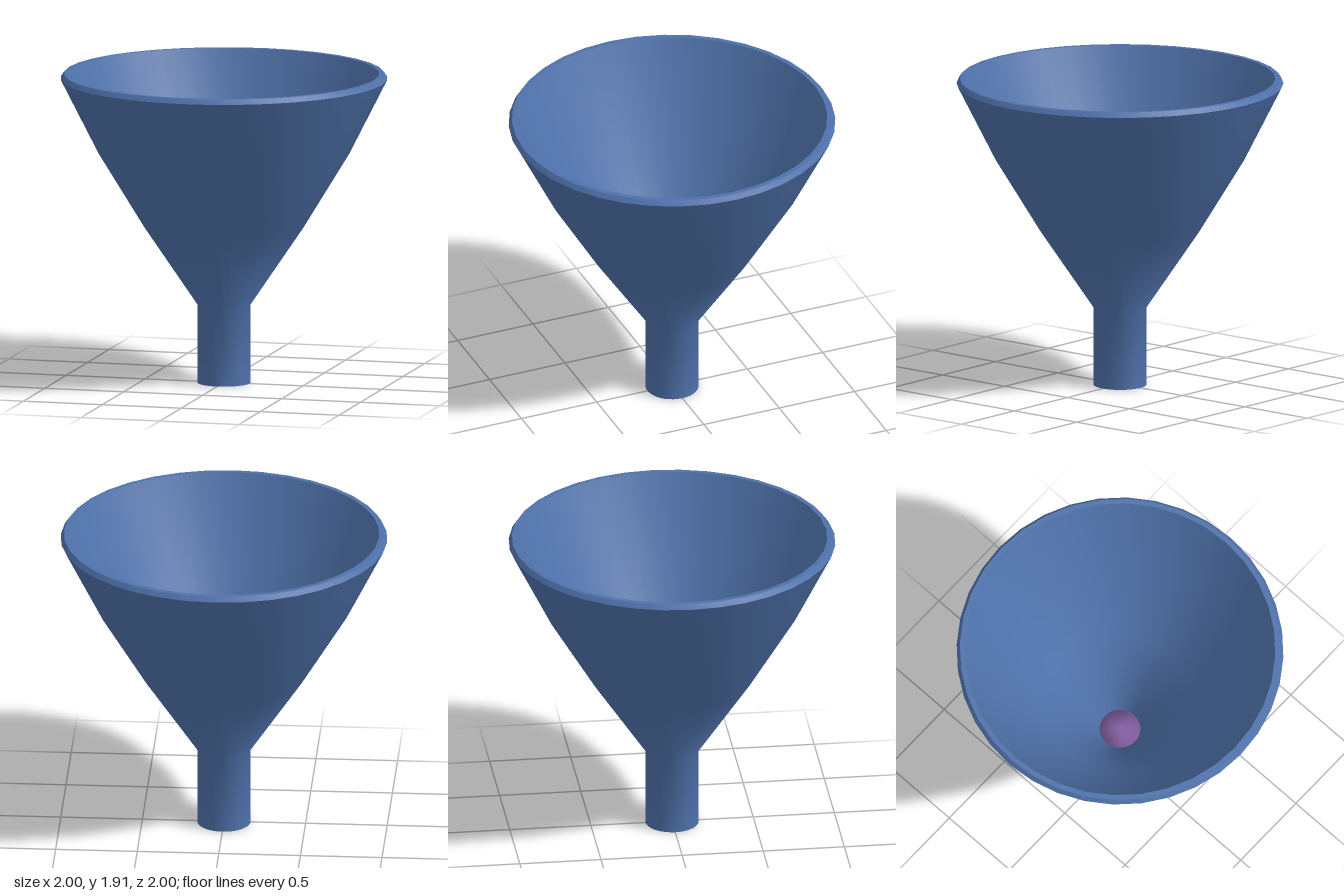
import * as THREE from 'three';
import { toCreasedNormals } from 'three/addons/utils/BufferGeometryUtils.js';

const SIDES = 36;

// Revolve a list of [radius, height] points around the y axis
const revolve = (profile) =>
  new THREE.LatheGeometry(profile.map(([r, y]) => new THREE.Vector2(r, y)), SIDES);

function addPart(group, name, geometry, color) {
  const mesh = new THREE.Mesh(geometry, new THREE.MeshStandardMaterial({ color }));
  mesh.name = name;
  group.add(mesh);
}

export function createModel() {
  const group = new THREE.Group();
  group.name = 'funnel';

  // Closed wall: up the outside, over the bevelled rim, down the inside, under the spout
  const wall = revolve([
    [0.163, 0], [0.163, 0.485], [0.49, 0.97], [0.77, 1.43], [1, 1.885],
    [0.98, 1.915], [0.95, 1.915],
    [0.727, 1.45], [0.45, 0.99], [0.125, 0.5], [0.125, 0], [0.163, 0],
  ]);
  addPart(group, 'funnelWall', toCreasedNormals(wall, Math.PI / 4), 0x4f72ab);

  // Core filling the spout, with softly blended cap normals
  const core = revolve([[0, 0], [0.125, 0], [0.125, 0.49], [0, 0.49]]);
  addPart(group, 'spoutCore', core, 0x8560a5);

  return group;
}
